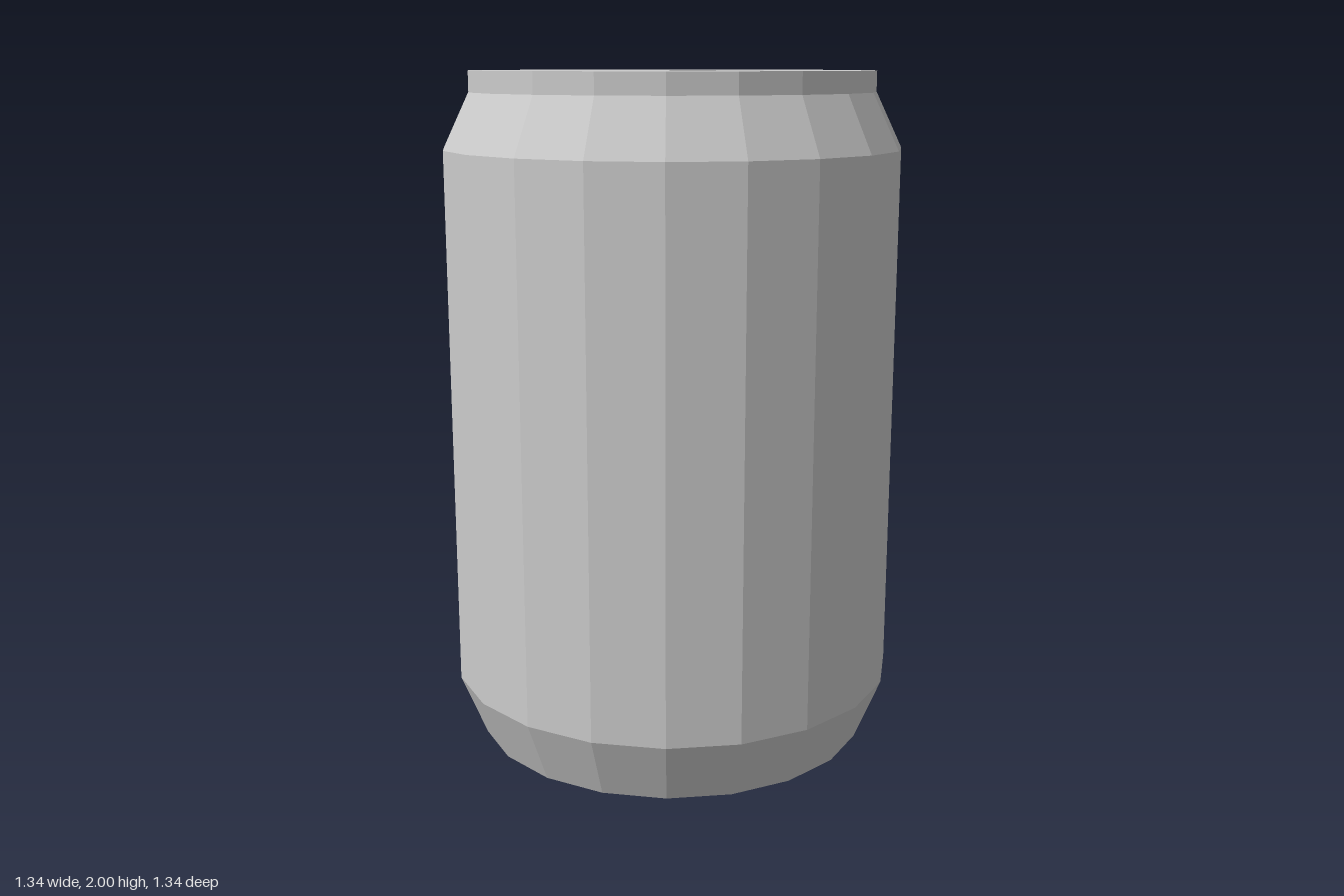
import * as THREE from 'three';

const SIDES = 20;
const HEIGHT = 2;
const LID_RADIUS = 0.595;

// outline of the drinking opening as [x, z]
const OPENING = [
  [-0.08, 0.106], [-0.168, 0.228], [-0.168, 0.332], [-0.122, 0.378],
  [0.122, 0.376], [0.19, 0.328], [0.183, 0.25], [0.082, 0.106],
];

// shape y becomes -z once laid flat
const toFlat = ([x, z]) => new THREE.Vector2(x, -z);

// floor of the opening: a shallow trough running front to back
const floorY = (x) => HEIGHT - 0.065 + 0.9 * x * x;

export function createModel() {
  const group = new THREE.Group();
  const material = new THREE.MeshStandardMaterial({
    color: 0xcccccc, flatShading: true, side: THREE.DoubleSide,
  });
  const add = (name, geometry) => {
    const mesh = new THREE.Mesh(geometry, material);
    mesh.name = name;
    group.add(mesh);
  };

  // base, lower taper, wall, shoulder and rim in one turned profile
  const profile = [
    [0, 0], [LID_RADIUS, 0], [0.672, 0.19], [0.672, 1.78],
    [LID_RADIUS, 1.94], [LID_RADIUS, HEIGHT],
  ].map(([r, y]) => new THREE.Vector2(r, y));
  add('canBody', new THREE.LatheGeometry(profile, SIDES));

  // flat lid with the opening cut out
  const ring = Array.from({ length: SIDES }, (_, i) => {
    const a = (i / SIDES) * Math.PI * 2;
    return new THREE.Vector2(Math.cos(a) * LID_RADIUS, Math.sin(a) * LID_RADIUS);
  });
  const lidShape = new THREE.Shape(ring);
  lidShape.holes.push(new THREE.Path(OPENING.map(toFlat)));
  add('lid', new THREE.ShapeGeometry(lidShape).rotateX(-Math.PI / 2).translate(0, HEIGHT, 0));

  // sunken floor of the opening
  const floor = new THREE.ShapeGeometry(new THREE.Shape(OPENING.map(toFlat))).rotateX(-Math.PI / 2);
  const pos = floor.attributes.position;
  for (let i = 0; i < pos.count; i++) pos.setY(i, floorY(pos.getX(i)));
  floor.computeVertexNormals();
  add('openingFloor', floor);

  // short wall between lid and floor, facing inwards
  const wall = [];
  OPENING.forEach(([x0, z0], i) => {
    const [x1, z1] = OPENING[(i + 1) % OPENING.length];
    const a = [x0, HEIGHT, z0], b = [x1, HEIGHT, z1];
    const c = [x1, floorY(x1), z1], d = [x0, floorY(x0), z0];
    wall.push(...a, ...b, ...c, ...a, ...c, ...d);
  });
  const wallGeometry = new THREE.BufferGeometry();
  wallGeometry.setAttribute('position', new THREE.Float32BufferAttribute(wall, 3));
  wallGeometry.computeVertexNormals();
  add('openingWall', wallGeometry);

  return group;
}
